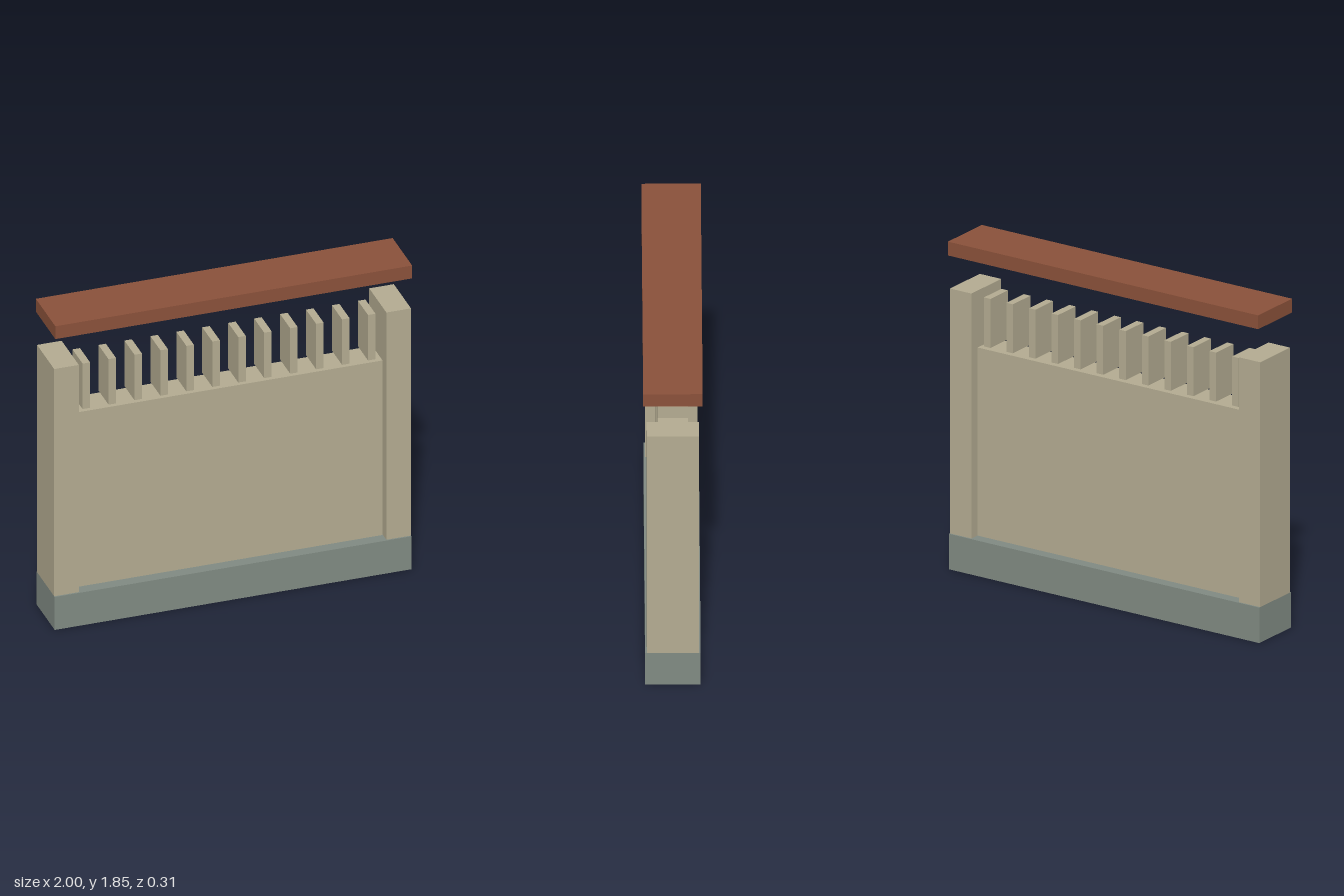
import * as THREE from 'three';

const stone = new THREE.MeshStandardMaterial({ color: 0xb3ab91 });
stone.name = 'sandstone';
const plinthGrey = new THREE.MeshStandardMaterial({ color: 0x808a82 });
plinthGrey.name = 'plinthGrey';
const clay = new THREE.MeshStandardMaterial({ color: 0x8a513a });
clay.name = 'clayRed';

// Box centred on z = 0, placed by its x centre and its bottom and top heights
function block(name, material, width, depth, bottom, top, x = 0) {
  const mesh = new THREE.Mesh(new THREE.BoxGeometry(width, top - bottom, depth), material);
  mesh.name = name;
  mesh.position.set(x, (bottom + top) / 2, 0);
  return mesh;
}

export function createModel() {
  const wall = new THREE.Group();
  wall.name = 'wallSection';

  // Plinth, recessed panel and floating coping
  wall.add(block('plinth', plinthGrey, 2, 0.294, 0, 0.2));
  wall.add(block('panel', stone, 1.72, 0.166, 0.2, 1.26));
  wall.add(block('coping', clay, 2, 0.315, 1.772, 1.85));

  // End posts
  for (const [side, name] of [[1, 'leftPost'], [-1, 'rightPost']]) {
    wall.add(block(name, stone, 0.138, 0.277, 0.2, 1.58, side * 0.931));
  }

  // Row of slats just above the panel
  const slats = new THREE.Group();
  slats.name = 'slats';
  const count = 12;
  for (let i = 0; i < count; i++) {
    const x = -0.8 + (1.6 * i) / (count - 1);
    slats.add(block('slat', stone, 0.042, 0.163, 1.274, 1.55, x));
  }
  wall.add(slats);

  return wall;
}
